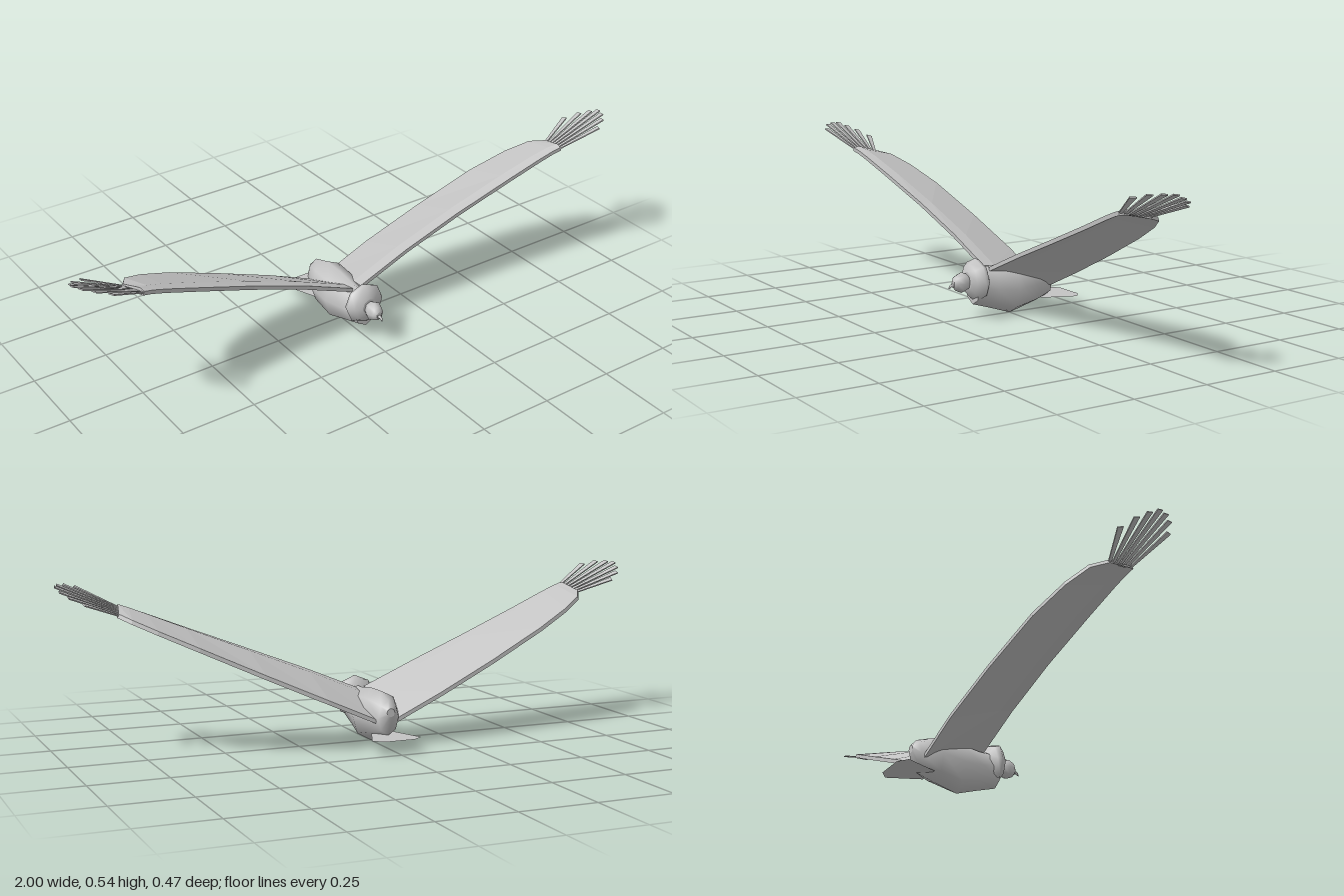
import * as THREE from 'three';

const grey = new THREE.MeshStandardMaterial({ color: 0xc4c4c4, side: THREE.DoubleSide });
grey.name = 'plumage grey';
const V = (x, y, z) => new THREE.Vector3(x, y, z);

// Skin a list of equal-sized rings (counter-clockwise about the travel direction), with end caps
function loft(rings, flat) {
  const n = rings[0].length, last = rings.length - 1;
  const pts = [...rings.flat(), ...rings[0], ...rings[last]];
  const idx = [];
  for (let i = 0; i < last; i++) {
    for (let j = 0; j < n; j++) {
      const a = i * n + j, b = i * n + (j + 1) % n;
      idx.push(a, b, b + n, a, b + n, a + n);
    }
  }
  const c0 = rings.length * n, c1 = c0 + n;
  for (let k = 1; k < n - 1; k++) idx.push(c0, c0 + k + 1, c0 + k, c1, c1 + k, c1 + k + 1);
  let geo = new THREE.BufferGeometry().setFromPoints(pts);
  geo.setIndex(idx);
  if (flat) geo = geo.toNonIndexed();
  geo.computeVertexNormals();
  return geo;
}

// Rounded form along z from sections [z, centreY, radiusX, radiusY]
function roundForm(sections, sides = 8) {
  return loft(sections.map(([z, cy, rx, ry]) => Array.from({ length: sides }, (_, k) => {
    const a = k / sides * Math.PI * 2;
    return V(Math.cos(a) * rx, cy + Math.sin(a) * ry, z);
  })));
}

// Build rings on the left side, or mirror them to the right
function sided(rings, s) {
  return rings.map(r => {
    const m = r.map(p => V(p.x * s, p.y, p.z));
    return s < 0 ? m.reverse() : m;
  });
}

// Matching stations along the wing: leading and trailing edge of the underside
const leading = [[0.02, 0.152, 0.09], [0.2, 0.228, 0.094], [0.4, 0.306, 0.106], [0.6, 0.383, 0.128],
  [0.72, 0.43, 0.144], [0.77, 0.448, 0.151], [0.8, 0.457, 0.157]];
const trailing = [[0.04, 0.083, -0.135], [0.2, 0.155, -0.13], [0.4, 0.245, -0.106], [0.6, 0.337, -0.07],
  [0.72, 0.392, -0.03], [0.79, 0.425, 0.01], [0.82, 0.44, 0.06]];

function wingGeometry(s) {
  const up = V(-0.005, 0.012, 0);
  const rings = leading.map((l, i) => {
    const a = V(...trailing[i]), c = V(...l);
    const b = a.clone().lerp(c, 0.8);
    b.y += 0.008;
    return [a.clone().add(up), b.clone().add(up), c.clone().add(up), c, b, a];
  });
  return loft(sided(rings, s), true);
}

// Tips of the spread flight feathers, rear to front
const tips = [[0.93, 0.49, 0.025], [0.97, 0.51, 0.055], [0.99, 0.525, 0.087], [1, 0.538, 0.118],
  [0.985, 0.54, 0.148], [0.96, 0.538, 0.178], [0.92, 0.528, 0.203]];

function featherGeometry(i, s) {
  const t = i / 6;
  const base = V(0.81 - 0.02 * t, 0.445 + 0.015 * t, 0.065 + 0.083 * t);
  const tip = V(...tips[i]);
  const dir = tip.clone().sub(base).normalize();
  const across = V(0, 0.25, 1).addScaledVector(dir, -V(0, 0.25, 1).dot(dir)).normalize();
  const normal = across.clone().cross(dir).normalize();
  const ring = (p, w) => [[-w, 1], [w, 1], [w, -1], [-w, -1]].map(([u, v]) =>
    p.clone().addScaledVector(across, u).addScaledVector(normal, v * 0.002));
  const end = tip.clone();
  end.x = Math.min(end.x, 0.998);
  return loft(sided([ring(base, 0.005), ring(end, 0.01)], s), true);
}

export function createModel() {
  const bird = new THREE.Group();
  bird.name = 'soaringBird';
  const add = (name, geo, parent = bird) => {
    const m = new THREE.Mesh(geo, grey);
    m.name = name;
    parent.add(m);
    return m;
  };

  // Body, ruff, head and hooked beak
  add('body', roundForm([[-0.165, 0.12, 0.014, 0.014], [-0.145, 0.1, 0.036, 0.056], [-0.08, 0.1, 0.066, 0.078],
    [0, 0.088, 0.064, 0.088], [0.07, 0.094, 0.052, 0.071], [0.142, 0.105, 0.044, 0.06]]));
  add('neckRuff', roundForm([[0.102, 0.125, 0.04, 0.035], [0.117, 0.125, 0.065, 0.064], [0.133, 0.125, 0.071, 0.071],
    [0.154, 0.125, 0.052, 0.054], [0.163, 0.125, 0.028, 0.03]]));
  add('head', roundForm([[0.155, 0.122, 0.012, 0.014], [0.165, 0.122, 0.022, 0.026], [0.185, 0.122, 0.03, 0.034],
    [0.207, 0.122, 0.021, 0.024], [0.215, 0.12, 0.01, 0.012]]));
  add('beak', roundForm([[0.205, 0.116, 0.008, 0.008], [0.222, 0.116, 0.005, 0.005],
    [0.228, 0.112, 0.004, 0.005], [0.232, 0.108, 0.001, 0.002]], 6));

  // Flat tail fan
  const fan = new THREE.Shape([[-0.04, 0.1], [0.04, 0.1], [0.06, 0.15], [0.085, 0.212], [0.05, 0.238],
    [-0.05, 0.238], [-0.085, 0.212], [-0.06, 0.15]].map(([x, y]) => new THREE.Vector2(x, y)));
  const tail = new THREE.ShapeGeometry(fan);
  tail.rotateX(-Math.PI / 2);
  tail.translate(0, 0.044, 0);
  add('tail', tail);

  // Raised wings with fingered tips
  for (const [side, s] of [['left', 1], ['right', -1]]) {
    const wing = new THREE.Group();
    wing.name = side + 'Wing';
    bird.add(wing);
    add(side + 'WingPanel', wingGeometry(s), wing);
    tips.forEach((_, i) => add(side + 'Feather' + (i + 1), featherGeometry(i, s), wing));
  }
  return bird;
}
